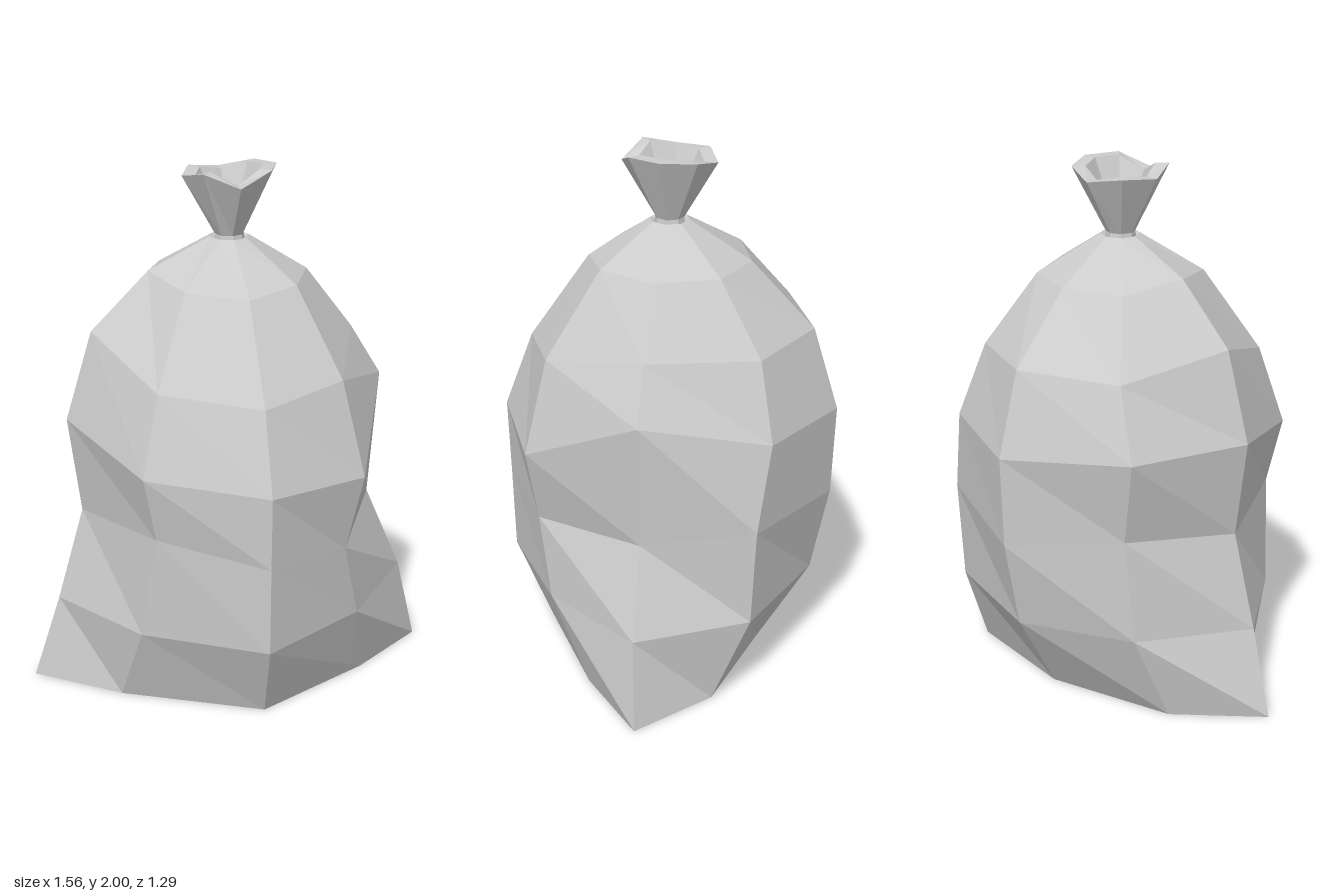
import * as THREE from 'three';

const SIDES = 8; // points per ring, running +x, +z, -x, -z

const material = new THREE.MeshStandardMaterial({ color: 0xcccccc, flatShading: true });

// Skins a stack of rings with flat quads; optional fans close either end.
function loft(name, rings, capFirst = false, capLast = false) {
  const positions = [];
  const tri = (...points) => points.forEach((p) => positions.push(...p));
  const centre = (ring) => [0, 1, 2].map((axis) => ring.reduce((sum, p) => sum + p[axis], 0) / SIDES);
  for (let k = 0; k < SIDES; k++) {
    const n = (k + 1) % SIDES;
    for (let i = 0; i < rings.length - 1; i++) {
      const [low, high] = [rings[i], rings[i + 1]];
      tri(low[k], high[k], high[n]);
      tri(low[k], high[n], low[n]);
    }
    const first = rings[0];
    const last = rings[rings.length - 1];
    if (capFirst) tri(centre(first), first[k], first[n]);
    if (capLast) tri(centre(last), last[n], last[k]);
  }
  const geometry = new THREE.BufferGeometry();
  geometry.setAttribute('position', new THREE.Float32BufferAttribute(positions, 3));
  geometry.computeVertexNormals();
  const mesh = new THREE.Mesh(geometry, material);
  mesh.name = name;
  return mesh;
}

// Regular ring; heights may be one number or one per corner.
function ring(radius, heights) {
  return Array.from({ length: SIDES }, (_, k) => {
    const a = (k / SIDES) * Math.PI * 2;
    return [Math.cos(a) * radius, Array.isArray(heights) ? heights[k] : heights, Math.sin(a) * radius];
  });
}

// Folds of the sack from floor to shoulder: [distance from axis, height]
const leftFold = [[0.78, 0], [0.70, 0.33], [0.56, 0.66], [0.60, 1.15], [0.48, 1.35], [0.30, 1.59]];
const rightFold = [[0.78, 0], [0.68, 0.33], [0.58, 0.69], [0.63, 1.06], [0.53, 1.40], [0.31, 1.62]];
const frontFold = [[0.48, 0], [0.63, 0.31], [0.64, 0.65], [0.65, 0.93], [0.54, 1.23], [0.31, 1.57]];
const backFold = [[0.36, 0], [0.56, 0.33], [0.63, 0.67], [0.645, 1.02], [0.55, 1.34], [0.31, 1.59]];

// Corners between the folds: [x, y, z]
const frontLeft = [[0.48, 0, 0.22], [0.41, 0.32, 0.38], [0.34, 0.62, 0.44],
  [0.40, 0.91, 0.47], [0.33, 1.27, 0.40], [0.20, 1.59, 0.22]];
const frontRight = [[-0.48, 0, 0.22], [-0.43, 0.32, 0.38], [-0.38, 0.72, 0.43],
  [-0.43, 0.97, 0.46], [-0.36, 1.27, 0.39], [-0.22, 1.59, 0.22]];
const backRight = [[-0.49, 0, -0.26], [-0.44, 0.34, -0.40], [-0.41, 0.74, -0.42],
  [-0.48, 1.07, -0.46], [-0.37, 1.33, -0.40], [-0.22, 1.59, -0.23]];
const backLeft = [[0.50, 0, -0.26], [0.47, 0.33, -0.40], [0.48, 0.71, -0.42],
  [0.41, 1.04, -0.46], [0.32, 1.33, -0.40], [0.21, 1.59, -0.23]];

export function createModel() {
  const group = new THREE.Group();
  group.name = 'tiedSack';

  // Slumped body with a flat base, gathered in at the top
  const bodyRings = leftFold.map((_, i) => {
    const slump = i === 0 ? 0.02 : 0; // the floor ring is shifted slightly
    const side = ([r, y], sign) => [r * sign, y, -slump];
    const end = ([r, y], sign) => [slump, y, r * sign];
    return [
      side(leftFold[i], 1), frontLeft[i], end(frontFold[i], 1), frontRight[i],
      side(rightFold[i], -1), backRight[i], end(backFold[i], -1), backLeft[i],
    ];
  });
  bodyRings.push(ring(0.075, 1.735));
  group.add(loft('sackBody', bodyRings, true, false));

  // Narrow tied neck
  group.add(loft('tiedNeck', [ring(0.075, 1.735), ring(0.058, 1.725), ring(0.055, 1.745)]));

  // Flared open mouth with an uneven thick rim and a hollow inside
  const rim = [2.0, 2.0, 1.95, 2.0, 1.97, 1.98, 1.96, 1.99];
  group.add(loft('flaredMouth', [
    ring(0.055, 1.745), ring(0.18, rim), ring(0.128, rim), ring(0.028, 1.77),
  ], false, true));

  return group;
}
